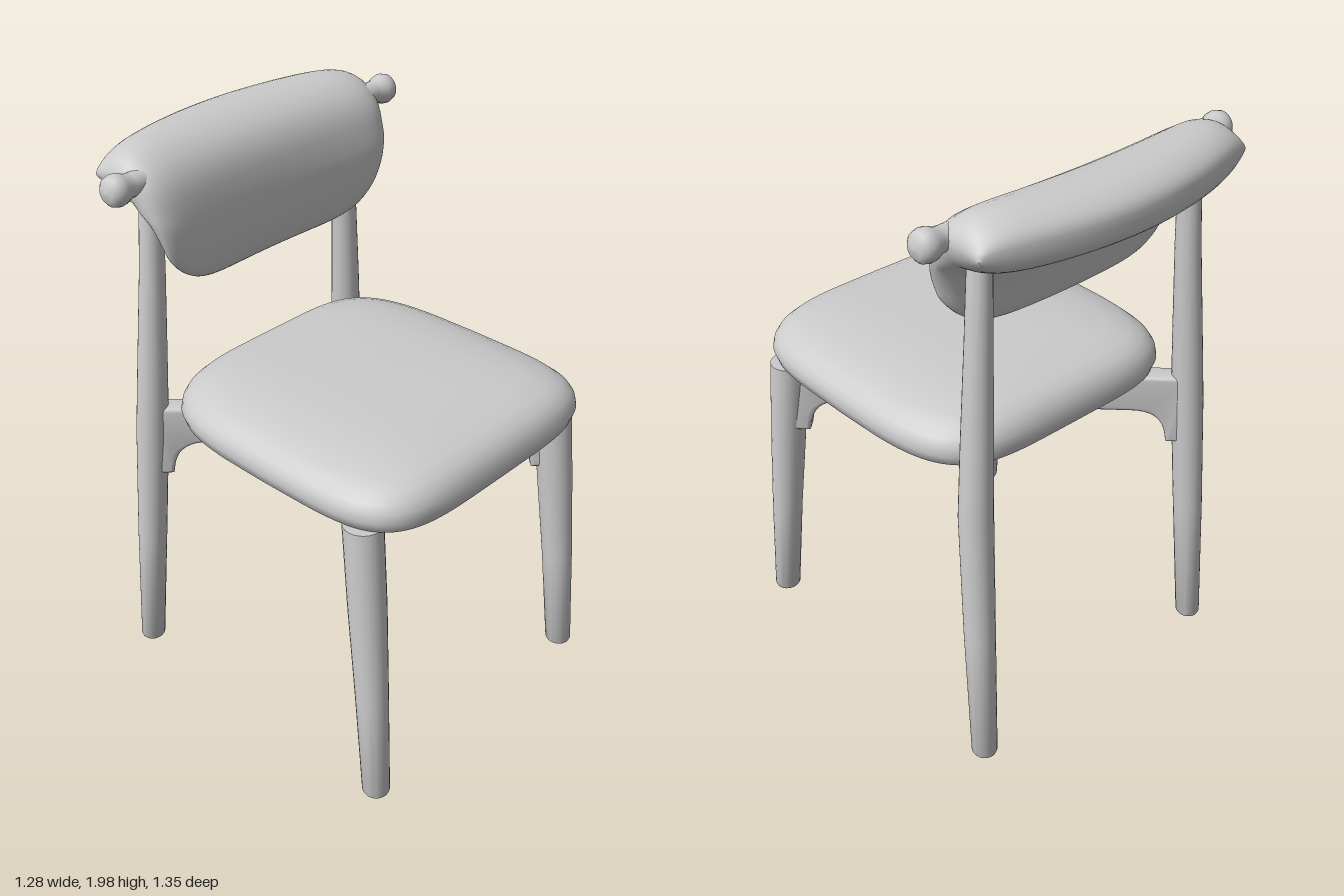
import * as THREE from 'three';
import { toCreasedNormals } from 'three/addons/utils/BufferGeometryUtils.js';

const material = new THREE.MeshStandardMaterial({ color: 0xcccccc });

// Skin over nu + 1 closed rings of nv points each; point(i, j) returns [x, y, z]
function skin(nu, nv, point) {
  const positions = [], index = [];
  for (let i = 0; i <= nu; i++) {
    for (let j = 0; j < nv; j++) {
      positions.push(...point(i, j));
      if (i === nu) continue;
      const k = (j + 1) % nv;
      const a = i * nv + j, b = a + nv, c = i * nv + k, d = c + nv;
      index.push(a, b, c, b, d, c);
    }
  }
  const geometry = new THREE.BufferGeometry();
  geometry.setAttribute('position', new THREE.Float32BufferAttribute(positions, 3));
  geometry.setIndex(index);
  geometry.computeVertexNormals();
  return toCreasedNormals(geometry, 0.9);
}

// Round tapered leg through stations [x, y, z, radius]
function legGeometry(stations) {
  const n = 24;
  return skin(stations.length - 1, n, (i, j) => {
    const [x, y, z, r] = stations[i];
    const a = (j / n) * Math.PI * 2;
    return [x + r * Math.cos(a), y, z + r * Math.sin(a)];
  });
}

// Padded seat: rounded-square outline, narrower at the back, domed top
function seatGeometry() {
  const rings = [
    [0, 1.035], [0.5, 1.035], [0.86, 1.03], [0.94, 1.033], [0.98, 1.05], [1, 1.085], [0.99, 1.12],
    [0.965, 1.15], [0.92, 1.175], [0.85, 1.192], [0.72, 1.203], [0.5, 1.209], [0.25, 1.21], [0, 1.21],
  ];
  const n = 96;
  const power = (v, p) => Math.sign(v) * Math.abs(v) ** p;
  return skin(rings.length - 1, n, (i, j) => {
    const [s, y] = rings[i];
    const a = (j / n) * Math.PI * 2;
    const u = s * power(Math.cos(a), 0.42);
    const w = s * power(Math.sin(a), 0.42);
    const width = 0.55 - 0.04 * Math.max(0, -w) ** 2;
    const drop = y > 1.1 ? 0.035 * u ** 4 * (y - 1.1) / 0.11 : 0;
    return [u * width, y - drop, 0.12 + 0.55 * w];
  });
}

// Backrest pad: a thick panel that folds backwards into a roll at the top
function backrestGeometry() {
  // Centre line of the section, with half the thickness stored in x
  const spine = new THREE.CatmullRomCurve3([
    [0.045, 1.52, -0.355], [0.05, 1.65, -0.36], [0.065, 1.77, -0.385],
    [0.098, 1.86, -0.45], [0.114, 1.885, -0.56], [0.11, 1.885, -0.675],
  ].map((p) => new THREE.Vector3(...p)));
  const nu = 48, nv = 64;
  return skin(nu, nv, (i, j) => {
    const u = Math.sin((i / nu - 0.5) * Math.PI);
    const a = (j / nv) * Math.PI * 2;
    const t = (1 - Math.cos(a)) / 2;
    const p = spine.getPoint(t), d = spine.getTangent(t);
    const len = Math.hypot(d.y, d.z);
    const side = Math.sign(Math.sin(a)) * Math.abs(Math.sin(a)) ** 0.6;
    const r = p.x * side * Math.sqrt(Math.max(0, 1 - u ** 10));
    let y = p.y - (r * d.z) / len;
    let z = p.z + (r * d.y) / len;
    // Ends curve forward, lower corners are rounded off
    const back = THREE.MathUtils.smoothstep(-z, 0.38, 0.67);
    z += u * u * (0.035 + 0.075 * back);
    const x = 0.55 * u * (1 - 0.3 * Math.max(0, 1.9 - y));
    y += 0.5 * Math.max(0, 1.8 - y) * u ** 6;
    return [x, y, z];
  });
}

// Diagonal rail with a fillet under each end
function railGeometry(length, thickness) {
  const h = length / 2;
  const shape = new THREE.Shape();
  shape.moveTo(-h, 1.035);
  shape.lineTo(-h, 0.8);
  shape.lineTo(-h + 0.045, 0.8);
  shape.quadraticCurveTo(-h + 0.06, 0.925, -h + 0.18, 0.925);
  shape.lineTo(h - 0.18, 0.925);
  shape.quadraticCurveTo(h - 0.06, 0.925, h - 0.045, 0.8);
  shape.lineTo(h, 0.8);
  shape.lineTo(h, 1.035);
  const bevel = 0.015;
  const geometry = new THREE.ExtrudeGeometry(shape, {
    depth: thickness - 2 * bevel, bevelSize: bevel, bevelThickness: bevel, bevelSegments: 3, curveSegments: 10,
  });
  geometry.translate(0, 0, bevel - thickness / 2);
  return toCreasedNormals(geometry, 0.7);
}

export function createModel() {
  const chair = new THREE.Group();
  chair.name = 'chair';
  const add = (name, geometry) => {
    const mesh = new THREE.Mesh(geometry, material);
    mesh.name = name;
    chair.add(mesh);
    return mesh;
  };

  add('seat', seatGeometry());
  add('backrest', backrestGeometry());

  // Rounded peg end of the bar inside the backrest
  const pegProfile = [
    [0.04, 0.46], [0.038, 0.54], [0.04, 0.56], [0.049, 0.58], [0.052, 0.6], [0.046, 0.622], [0.03, 0.636], [0, 0.64],
  ].map((p) => new THREE.Vector2(...p));

  for (const s of [1, -1]) {
    const side = s > 0 ? 'left' : 'right';

    add(`${side}FrontLeg`, legGeometry([
      [s * 0.517, 0, 0.6, 0], [s * 0.517, 0, 0.6, 0.043], [s * 0.517, 0.008, 0.599, 0.047],
      [s * 0.505, 0.4, 0.565, 0.055], [s * 0.492, 0.75, 0.53, 0.063],
      [s * 0.482, 1.05, 0.5, 0.065], [s * 0.482, 1.05, 0.5, 0],
    ]));

    add(`${side}BackLeg`, legGeometry([
      [s * 0.517, 0, -0.548, 0], [s * 0.517, 0, -0.548, 0.04], [s * 0.517, 0.008, -0.547, 0.044],
      [s * 0.503, 0.5, -0.51, 0.052], [s * 0.487, 0.95, -0.477, 0.056],
      [s * 0.472, 1.2, -0.466, 0.051], [s * 0.45, 1.55, -0.452, 0.043],
      [s * 0.435, 1.85, -0.443, 0.037], [s * 0.435, 1.85, -0.443, 0],
    ]));

    const peg = add(`${side}Peg`, new THREE.LatheGeometry(pegProfile, 24));
    peg.rotation.z = -s * Math.PI / 2;
    peg.position.set(0, 1.895, -0.405);

    // Crossed rails joining each front leg to the opposite back leg
    const rail = add(`${side}CrossRail`, railGeometry(Math.hypot(0.96, 0.97), 0.08));
    rail.position.set(0, 0, 0.012);
    rail.rotation.y = s * Math.atan2(0.97, 0.96);
  }
  return chair;
}
